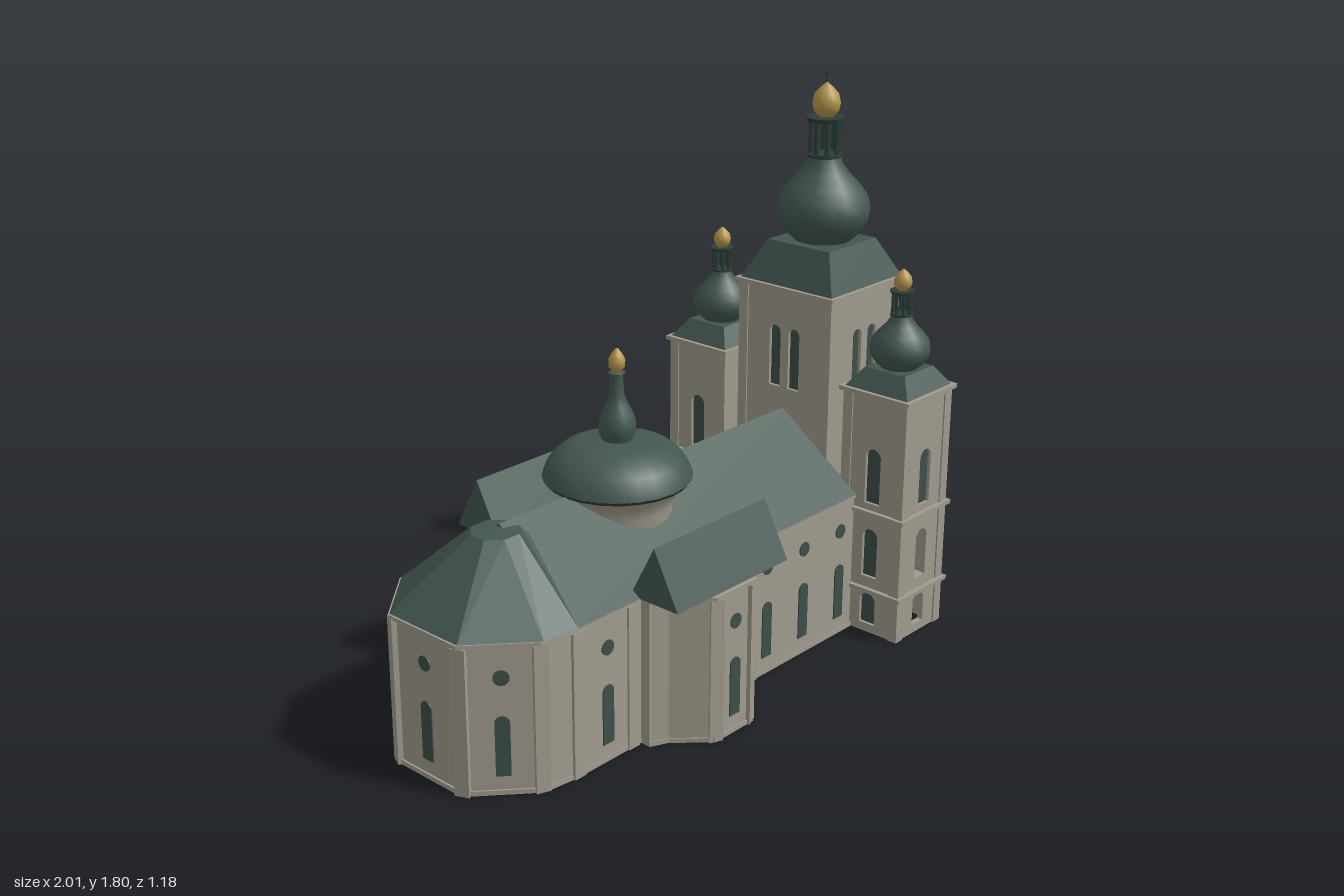
import * as THREE from 'three';

const mat = (name, color, side = THREE.FrontSide) => {
  const m = new THREE.MeshStandardMaterial({ color, side });
  m.name = name;
  return m;
};
const V = (pts) => pts.map(([x, y]) => new THREE.Vector2(x, y));

export function createModel() {
  const stone = mat('stone', 0xa09b8e);
  const copper = mat('copperRoof', 0x43574f, THREE.DoubleSide);
  const dark = mat('darkTrim', 0x2d3e38);
  const glass = mat('windowGlass', 0x3d4f49, THREE.DoubleSide);
  const gold = mat('gold', 0xb5954c);

  const model = new THREE.Group();
  model.name = 'church';
  const church = new THREE.Group();
  church.name = 'churchBody';
  church.position.set(0.009, 0, 0.052);
  church.rotation.y = 0.172;
  model.add(church);

  const add = (parent, name, geo, material, x = 0, y = 0, z = 0, ry = 0) => {
    const m = new THREE.Mesh(geo, material);
    m.name = name;
    m.position.set(x, y, z);
    m.rotation.y = ry;
    parent.add(m);
    return m;
  };
  const box = (w, h, d) => new THREE.BoxGeometry(w, h, d);
  const flat = (g) => {
    const f = g.index ? g.toNonIndexed() : g;
    f.computeVertexNormals();
    return f;
  };
  const lathe = (pts, n = 20) => new THREE.LatheGeometry(V(pts), n);
  const extrude = (shape, depth) =>
    new THREE.ExtrudeGeometry(shape, { depth, bevelEnabled: false, curveSegments: 8 });
  const arch = (path, x, y0, y1, w) => {
    const r = w / 2;
    path.moveTo(x - r, y0);
    path.lineTo(x + r, y0);
    path.lineTo(x + r, y1 - r);
    path.absarc(x, y1 - r, r, 0, Math.PI, false);
    path.lineTo(x - r, y0);
    return path;
  };

  // Nave, transept bays and apse share one mirrored footprint
  const half = [[0.58, 0.31], [0.03, 0.31], [0.03, 0.345], [-0.025, 0.37], [-0.119, 0.47],
    [-0.291, 0.47], [-0.385, 0.37], [-0.44, 0.345], [-0.44, 0.31], [-0.7, 0.31],
    [-0.82, 0.295], [-0.995, 0.14]];
  const outline = [...half, ...half.map(([a, b]) => [a, -b]).reverse()];
  const slab = (k, depth) => {
    const s = new THREE.Shape(V(outline.map(([a, b]) => [(a + 0.2) * k - 0.2, b * k])));
    return extrude(s, depth).rotateX(-Math.PI / 2);
  };
  add(church, 'naveWalls', slab(1, 0.47), stone);
  add(church, 'eavesCornice', slab(1.012, 0.012), stone, 0, 0.465);
  add(church, 'plinth', slab(1.008, 0.015), stone);

  // Pilasters and arched windows with round ones above
  const naveWindow = (a, b, ry) => {
    const g = new THREE.Group();
    g.name = 'naveWindow';
    g.position.set(a, 0, b);
    g.rotation.y = ry;
    church.add(g);
    add(g, 'archedPane', extrude(arch(new THREE.Shape(), 0, 0.06, 0.25, 0.044), 0.004), glass);
    add(g, 'roundPane', new THREE.CylinderGeometry(0.024, 0.024, 0.004, 14).rotateX(Math.PI / 2),
      glass, 0, 0.37, 0.002);
  };
  for (const s of [1, -1]) {
    const turn = (r) => (s > 0 ? r : Math.PI - r);
    for (const a of [0.51, 0.322, 0.139, -0.58]) naveWindow(a, s * 0.31, turn(0));
    naveWindow(-0.205, s * 0.47, turn(0));
    naveWindow(-0.908, s * 0.218, turn(-0.74));
    for (const [a, b, r] of [[-0.7, 0.3, 0], [-0.82, 0.28, -0.37], [-0.985, 0.135, -1.15],
      [-0.13, 0.457, 0.4], [-0.28, 0.457, -0.4], [0.01, 0.33, 0], [-0.42, 0.33, 0],
      [-0.475, 0.3, 0], [0.065, 0.3, 0]]) {
      add(church, 'pilaster', box(0.045, 0.465, 0.034), stone, a, 0.2325, s * b, turn(r));
    }
  }
  naveWindow(-0.995, 0, -Math.PI / 2);

  // Ridged roofs along the long axis
  const ridgeRoof = (name, halfW, y0, y1, a0, a1, b) => {
    const s = new THREE.Shape(V([[-halfW, y0], [halfW, y0], [0, y1]]));
    add(church, name, extrude(s, a1 - a0).rotateY(Math.PI / 2), copper, a0, 0, b);
  };
  ridgeRoof('naveRoof', 0.316, 0.477, 0.7, -0.7, 0.585, 0);
  for (const s of [1, -1]) ridgeRoof('transeptRoof', 0.092, 0.477, 0.652, -0.45, 0.042, s * 0.37);

  // Apse roof lofted from the eaves up to a small octagonal cap
  const side = [[-0.59, 0.6, 0.12], [-0.7, 0.477, 0.316], [-0.82, 0.477, 0.3], [-0.998, 0.477, 0.142]];
  const base = [...side, ...side.map(([x, y, z]) => [x, y, -z]).reverse()];
  const pos = [];
  base.forEach((p, i) => {
    const q = base[(i + 1) % base.length];
    const top = (j) => {
      const t = ((j + 0.5) / base.length) * Math.PI * 2;
      return [-0.715 + 0.075 * Math.cos(t), 0.685, 0.075 * Math.sin(t)];
    };
    const u = top(i), v = top(i + 1);
    pos.push(...p, ...u, ...q, ...q, ...u, ...v, ...u, -0.715, 0.692, 0, ...v);
  });
  const apse = new THREE.BufferGeometry();
  apse.setAttribute('position', new THREE.Float32BufferAttribute(
    pos, 3));
  // Corner order is turned so the faces look outward
  const idx = [];
  for (let i = 0; i < pos.length / 3; i += 3) idx.push(i, i + 1, i + 2);
  apse.setIndex(idx);
  const apseGeo = flat(apse);
  if (apseGeo.attributes.normal.getY(0) < 0) {
    for (let i = 0; i < idx.length; i += 3) [idx[i + 1], idx[i + 2]] = [idx[i + 2], idx[i + 1]];
    apse.setIndex(idx);
    add(church, 'apseRoof', flat(apse), copper);
  } else add(church, 'apseRoof', apseGeo, copper);

  // Central dome on a flared drum
  const dome = new THREE.Group();
  dome.name = 'dome';
  dome.position.set(-0.21, 0, 0);
  church.add(dome);
  add(dome, 'drum', lathe([[0.16, 0.5], [0.17, 0.62], [0.188, 0.66], [0.215, 0.697]], 24), stone);
  add(dome, 'domeRim', new THREE.CylinderGeometry(0.23, 0.222, 0.012, 24), dark, 0, 0.699);
  add(dome, 'domeShell', lathe([[0.23, 0.704], [0.222, 0.73], [0.2, 0.765], [0.165, 0.793],
    [0.115, 0.812], [0, 0.826]], 24), copper);
  add(dome, 'domeBulb', lathe([[0.045, 0.815], [0.057, 0.845], [0.058, 0.87], [0.05, 0.9],
    [0.034, 0.93], [0.022, 0.96], [0.018, 1.025], [0.026, 1.03], [0, 1.034]], 14), copper);
  add(dome, 'domeFinial', lathe([[0.01, 1.03], [0.025, 1.05], [0.026, 1.07], [0.016, 1.09],
    [0, 1.11]], 12), gold);
  add(dome, 'domeSpike', box(0.004, 0.04, 0.004), dark, 0, 1.11);

  // Onion spire with open lantern, gilded bulb and cross
  const spire = (parent, y, k) => {
    const g = new THREE.Group();
    g.name = 'spire';
    g.position.y = y;
    g.scale.setScalar(k);
    parent.add(g);
    add(g, 'onion', lathe([[0.09, 0], [0.122, 0.03], [0.149, 0.07], [0.156, 0.105], [0.147, 0.148],
      [0.118, 0.188], [0.08, 0.228], [0.06, 0.255], [0.05, 0.285]], 16), copper);
    add(g, 'lanternFloor', new THREE.CylinderGeometry(0.058, 0.058, 0.012, 16), dark, 0, 0.285);
    for (let i = 0; i < 8; i++) {
      const t = (i / 8) * Math.PI * 2;
      add(g, 'lanternColumn', new THREE.CylinderGeometry(0.009, 0.009, 0.115, 6), dark,
        0.046 * Math.cos(t), 0.343, 0.046 * Math.sin(t));
    }
    add(g, 'lanternCap', new THREE.CylinderGeometry(0.064, 0.06, 0.014, 16), dark, 0, 0.402);
    add(g, 'giltBulb', lathe([[0.022, 0.408], [0.042, 0.43], [0.047, 0.455], [0.04, 0.483],
      [0.02, 0.505], [0, 0.522]], 14), gold);
    add(g, 'crossPost', box(0.004, 0.045, 0.004), dark, 0, 0.537);
    add(g, 'crossArm', box(0.004, 0.004, 0.025), dark, 0, 0.548);
  };

  // Hollow towers: four pierced walls, corner posts, string courses, roof
  const tower = (name, a, b, h, height, roofTop, topHalf, k, tall) => {
    const g = new THREE.Group();
    g.name = name;
    g.position.set(a, 0, b);
    church.add(g);
    const openings = [[0, 0.03, 0.14, 0.06], [0, 0.2, 0.37, 0.058], [0, 0.46, 0.65, 0.058]];
    if (tall) openings.push([-0.039, 0.77, 0.98, 0.045], [0.039, 0.77, 0.98, 0.045]);
    for (let i = 0; i < 4; i++) {
      const face = new THREE.Group();
      face.name = 'towerFace';
      face.rotation.y = (i * Math.PI) / 2;
      g.add(face);
      const s = new THREE.Shape(V([[-h, 0], [h, 0], [h, height], [-h, height]]));
      for (const o of openings) s.holes.push(arch(new THREE.Path(), ...o));
      add(face, 'towerWall', extrude(s, 0.02), stone, 0, 0, h - 0.02);
      for (const o of openings) {
        const glazed = o[1] > 0.4 || (b > 0 && i % 2 === 1);
        if (glazed) add(face, 'towerPane', extrude(arch(new THREE.Shape(), ...o), 0.003), glass, 0, 0, h - 0.014);
      }
      add(face, 'cornerPost', box(0.036, height, 0.036), stone, h - 0.013, height / 2, h - 0.013);
    }
    for (const y of [0.155, 0.43, height]) {
      const w = 2 * h + 0.032;
      add(g, 'stringCourse', box(w, 0.014, w), stone, 0, y, 0);
    }
    add(g, 'towerRoof', flat(new THREE.CylinderGeometry(topHalf * Math.SQRT2, (h + 0.004) * Math.SQRT2,
      roofTop - height, 4).rotateY(Math.PI / 4)), copper, 0, (roofTop + height) / 2 + 0.004, 0);
    spire(g, roofTop, k);
  };
  tower('mainTower', 0.772, 0, 0.186, 1.11, 1.24, 0.125, 1, true);
  for (const s of [1, -1]) tower('sideTower', 0.706, s * 0.375, 0.119, 0.835, 0.9, 0.077, 0.63, false);

  return model;
}
